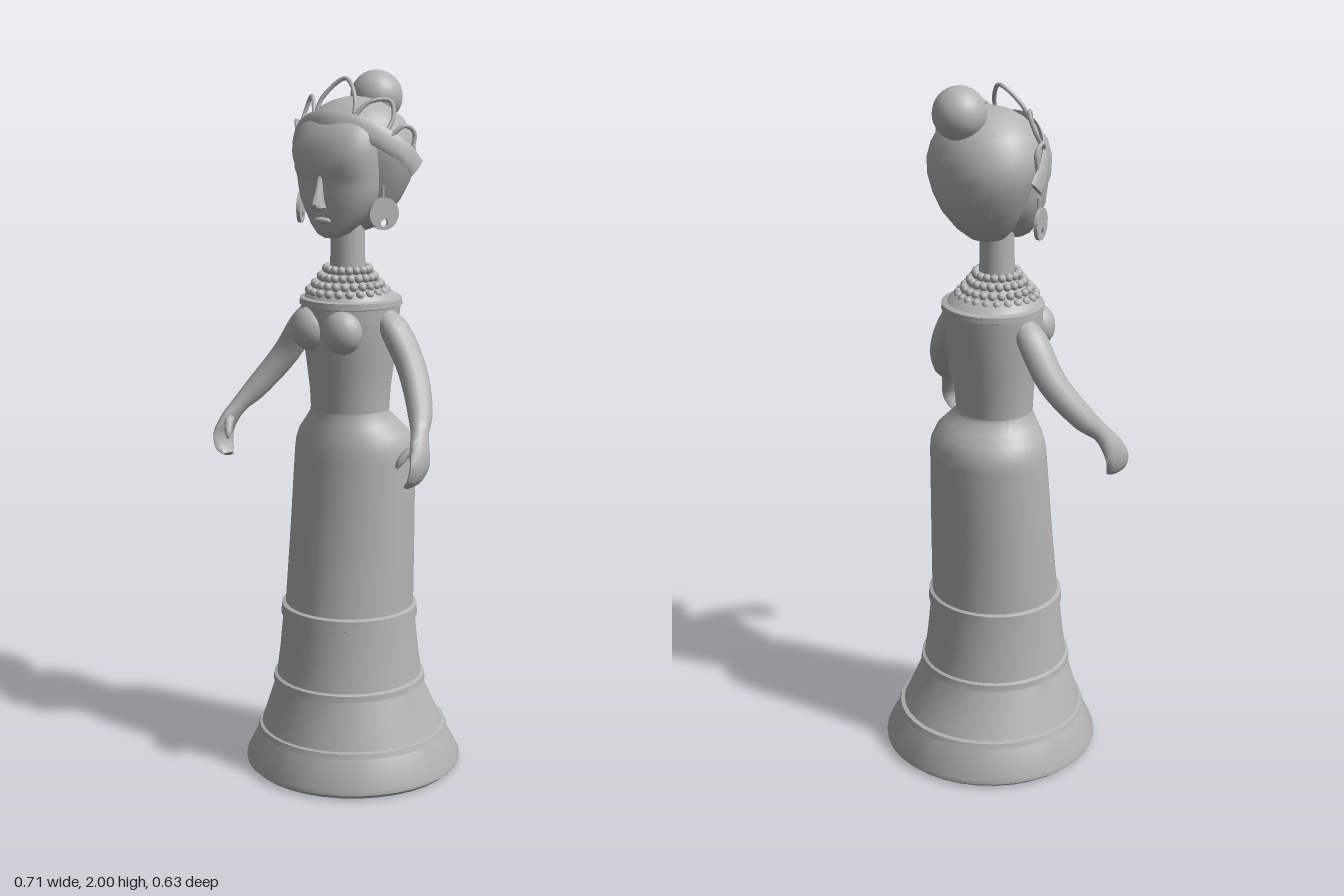
import * as THREE from 'three';
import { mergeGeometries, toCreasedNormals } from 'three/addons/utils/BufferGeometryUtils.js';

const V = (x, y, z) => new THREE.Vector3(x, y, z);
const grey = new THREE.MeshStandardMaterial({ color: 0xb4b4b4 });
grey.name = 'plain grey';

// Closed skin over a stack of rings, capped at both ends
function skin(rings, crease = 0.6) {
  const n = rings[0].length, pos = [], idx = [];
  rings.forEach(r => r.forEach(p => pos.push(p.x, p.y, p.z)));
  for (let i = 0; i < rings.length - 1; i++) {
    for (let j = 0; j < n; j++) {
      const a = i * n + j, b = i * n + (j + 1) % n;
      idx.push(a, b, b + n, a, b + n, a + n);
    }
  }
  [0, rings.length - 1].forEach((r, top) => {
    const c = rings[r].reduce((s, p) => s.add(p), V(0, 0, 0)).divideScalar(n);
    const k = pos.length / 3;
    pos.push(c.x, c.y, c.z);
    for (let j = 0; j < n; j++) {
      const a = r * n + j, b = r * n + (j + 1) % n;
      if (top) idx.push(k, a, b); else idx.push(k, b, a);
    }
  });
  const g = new THREE.BufferGeometry();
  g.setAttribute('position', new THREE.Float32BufferAttribute(pos, 3));
  g.setIndex(idx);
  g.computeVertexNormals();
  return toCreasedNormals(g, crease);
}

// Horizontal sections: [y, half width, back z, front z]; power above 2 squares them off
function stack(sections, sides = 36, power = 2, crease = 0.6) {
  const f = v => Math.sign(v) * Math.abs(v) ** (2 / power);
  return skin(sections.map(([y, rx, back, front]) => Array.from({ length: sides }, (_, j) => {
    const a = j / sides * Math.PI * 2;
    return V(rx * f(Math.sin(a)), y, (front + back) / 2 + (front - back) / 2 * f(Math.cos(a)));
  })), crease);
}

// Limb along a smooth path: [x, y, z, radius along ref, radius across it]
function limb(points, ref, steps = 24, sides = 14) {
  const path = new THREE.CatmullRomCurve3(points.map(p => V(p[0], p[1], p[2])));
  const size = new THREE.CatmullRomCurve3(points.map(p => V(p[3], p[4], 0)), false, 'catmullrom', 0.4);
  const rings = [];
  for (let i = 0; i <= steps; i++) {
    const p = path.getPoint(i / steps), t = path.getTangent(i / steps), s = size.getPoint(i / steps);
    const A = ref.clone().addScaledVector(t, -ref.dot(t)).normalize();
    const B = t.clone().cross(A);
    rings.push(Array.from({ length: sides }, (_, j) => {
      const a = j / sides * Math.PI * 2;
      return p.clone().addScaledVector(A, s.x * Math.cos(a)).addScaledVector(B, s.y * Math.sin(a));
    }));
  }
  return skin(rings, 0.9);
}

export function createModel() {
  const model = new THREE.Group();
  const add = (name, geometry, x = 0, y = 0, z = 0) => {
    const m = new THREE.Mesh(geometry, grey);
    m.name = name;
    m.position.set(x, y, z);
    model.add(m);
    return m;
  };

  // Flared skirt with three raised trims
  add('skirt', stack([
    [0, 0.3, -0.3, 0.3], [0.012, 0.313, -0.313, 0.313], [0.025, 0.313, -0.313, 0.313],
    [0.105, 0.272, -0.27, 0.276], [0.107, 0.278, -0.275, 0.281], [0.122, 0.273, -0.27, 0.277],
    [0.125, 0.263, -0.258, 0.27], [0.19, 0.238, -0.225, 0.252], [0.258, 0.212, -0.195, 0.234],
    [0.26, 0.22, -0.203, 0.241], [0.278, 0.218, -0.2, 0.239], [0.282, 0.209, -0.192, 0.231],
    [0.36, 0.2, -0.18, 0.219], [0.458, 0.192, -0.169, 0.208], [0.46, 0.199, -0.175, 0.213],
    [0.49, 0.197, -0.173, 0.21], [0.494, 0.186, -0.165, 0.2], [0.7, 0.184, -0.164, 0.173],
    [0.93, 0.181, -0.163, 0.146], [0.965, 0.178, -0.16, 0.142], [1.0, 0.164, -0.143, 0.134],
    [1.03, 0.137, -0.115, 0.126], [1.055, 0.117, -0.09, 0.119], [1.08, 0.113, -0.085, 0.117],
  ]));

  // Fitted bodice, bust and neckline trim
  add('bodice', stack([
    [1.06, 0.115, -0.088, 0.118], [1.12, 0.117, -0.094, 0.122], [1.2, 0.126, -0.106, 0.132],
    [1.28, 0.135, -0.118, 0.146], [1.34, 0.139, -0.126, 0.15], [1.375, 0.14, -0.13, 0.147],
  ]));
  for (const s of [-1, 1]) {
    add('bust', new THREE.SphereGeometry(1, 20, 14).scale(0.058, 0.062, 0.05), s * 0.055, 1.3, 0.124);
  }
  add('necklineTrim', stack([
    [1.36, 0.138, -0.127, 0.148], [1.363, 0.145, -0.133, 0.153],
    [1.38, 0.144, -0.132, 0.151], [1.384, 0.134, -0.124, 0.143],
  ]));
  add('shoulders', stack([
    [1.375, 0.137, -0.126, 0.145], [1.395, 0.122, -0.105, 0.135],
    [1.412, 0.098, -0.075, 0.118], [1.428, 0.068, -0.04, 0.092], [1.45, 0.05, -0.022, 0.072],
  ], 36, 2, 0.9));
  add('neck', new THREE.CylinderGeometry(0.047, 0.05, 0.2, 24), 0, 1.52, 0.025);

  // Beaded necklace in four rows
  const beads = [];
  [[0.06, 1.462, 18], [0.075, 1.441, 21], [0.092, 1.42, 23], [0.108, 1.402, 23]].forEach(([r, y, n], row) => {
    for (let i = 0; i < n; i++) {
      const a = (i + row / 2) / n * Math.PI * 2;
      beads.push(new THREE.SphereGeometry(0.012, 10, 8).translate(Math.sin(a) * r, y, 0.025 + Math.cos(a) * r));
    }
  });
  add('necklace', mergeGeometries(beads));

  // Face, nose and mouth
  add('face', stack([
    [1.555, 0.022, 0.075, 0.118], [1.566, 0.042, 0.045, 0.134], [1.59, 0.068, 0.02, 0.139],
    [1.625, 0.093, 0, 0.142], [1.66, 0.111, -0.02, 0.15], [1.695, 0.119, -0.02, 0.15],
    [1.72, 0.122, -0.02, 0.152], [1.74, 0.125, -0.02, 0.161], [1.79, 0.13, -0.02, 0.16],
    [1.84, 0.124, -0.02, 0.145], [1.88, 0.1, -0.02, 0.113], [1.905, 0.06, -0.02, 0.07],
  ], 36, 2.3, 0.9));
  add('nose', stack([
    [1.634, 0.014, 0.135, 0.165], [1.642, 0.021, 0.135, 0.18], [1.652, 0.017, 0.135, 0.185],
    [1.685, 0.011, 0.135, 0.17], [1.725, 0.008, 0.135, 0.158],
  ], 12));
  add('mouth', new THREE.SphereGeometry(1, 16, 10).scale(0.028, 0.01, 0.012), 0, 1.605, 0.139);

  // Swept-up hair and bun
  add('hair', stack([
    [1.565, 0.03, -0.04, 0.03], [1.572, 0.05, -0.06, 0.04], [1.6, 0.083, -0.095, 0.055],
    [1.65, 0.117, -0.135, 0.07], [1.7, 0.144, -0.155, 0.085], [1.75, 0.163, -0.165, 0.1],
    [1.79, 0.168, -0.165, 0.116], [1.83, 0.16, -0.156, 0.127], [1.87, 0.138, -0.136, 0.112],
    [1.9, 0.106, -0.106, 0.085], [1.92, 0.066, -0.071, 0.05], [1.93, 0.028, -0.035, 0.015],
  ], 36, 2, 1.2));
  add('bun', new THREE.SphereGeometry(0.073, 28, 18), 0, 1.927, -0.11);

  // Headband crossing the crown
  const half = [[0.2, 1.745, -0.02], [0.188, 1.785, 0.015], [0.15, 1.825, 0.06], [0.08, 1.86, 0.1]];
  const sized = (p, s) => [s * p[0], p[1], p[2], 0.03, 0.007];
  add('headband', limb([
    ...half.map(p => sized(p, -1)), sized([0, 1.872, 0.118], 1), ...half.map(p => sized(p, 1)).reverse(),
  ], V(0, 0.95, -0.3), 32, 10));

  // Open loops standing on the headband
  const loop = pts => add('headbandLoop', new THREE.TubeGeometry(
    new THREE.CatmullRomCurve3(pts.map(p => V(...p))), 24, 0.006, 8));
  loop([[-0.065, 1.88, 0.085], [-0.055, 1.93, 0.065], [0, 1.982, 0.035], [0.055, 1.93, 0.065], [0.065, 1.88, 0.085]]);
  for (const s of [-1, 1]) {
    loop([[s * 0.065, 1.88, 0.09], [s * 0.095, 1.922, 0.055], [s * 0.135, 1.925, 0.015],
      [s * 0.15, 1.885, 0.02], [s * 0.147, 1.84, 0.05]]);
    loop([[s * 0.16, 1.835, 0.045], [s * 0.184, 1.86, 0.015], [s * 0.194, 1.84, -0.015], [s * 0.19, 1.78, -0.005]]);
  }

  // Disc earrings with a small hole near the bottom
  const disc = new THREE.Shape().absarc(0, 0, 0.044, 0, Math.PI * 2);
  disc.holes.push(new THREE.Path().absarc(0, -0.024, 0.011, 0, Math.PI * 2, true));
  const earring = new THREE.ExtrudeGeometry(disc, { depth: 0.01, bevelEnabled: false, curveSegments: 24 })
    .translate(0, 0, -0.005);
  for (const s of [-1, 1]) {
    add('earring', earring, s * 0.142, 1.625, 0.053).rotation.y = s * 1.1;
    add('earringHook', new THREE.CylinderGeometry(0.005, 0.005, 0.035, 8), s * 0.137, 1.68, 0.05);
  }

  // Arms, curled hands and thumbs
  for (const s of [-1, 1]) {
    const sided = pts => pts.map(([x, ...rest]) => [s * x, ...rest]);
    add('arm', limb(sided([
      [0.11, 1.345, 0.015, 0.03, 0.025], [0.155, 1.3, 0.015, 0.046, 0.038], [0.22, 1.2, 0.025, 0.044, 0.038],
      [0.285, 1.1, 0.08, 0.037, 0.033], [0.315, 1.05, 0.125, 0.027, 0.023], [0.333, 1.01, 0.15, 0.036, 0.02],
      [0.342, 0.97, 0.165, 0.042, 0.014], [0.331, 0.932, 0.175, 0.036, 0.011], [0.312, 0.915, 0.18, 0.018, 0.007],
    ]), V(0, 0, 1), 36));
    add('thumb', limb(sided([
      [0.325, 1.02, 0.155, 0.014, 0.014], [0.31, 1.005, 0.18, 0.013, 0.012],
      [0.3, 0.985, 0.195, 0.011, 0.01], [0.294, 0.968, 0.202, 0.005, 0.005],
    ]), V(0, 0, 1), 12, 10));
  }
  return model;
}
